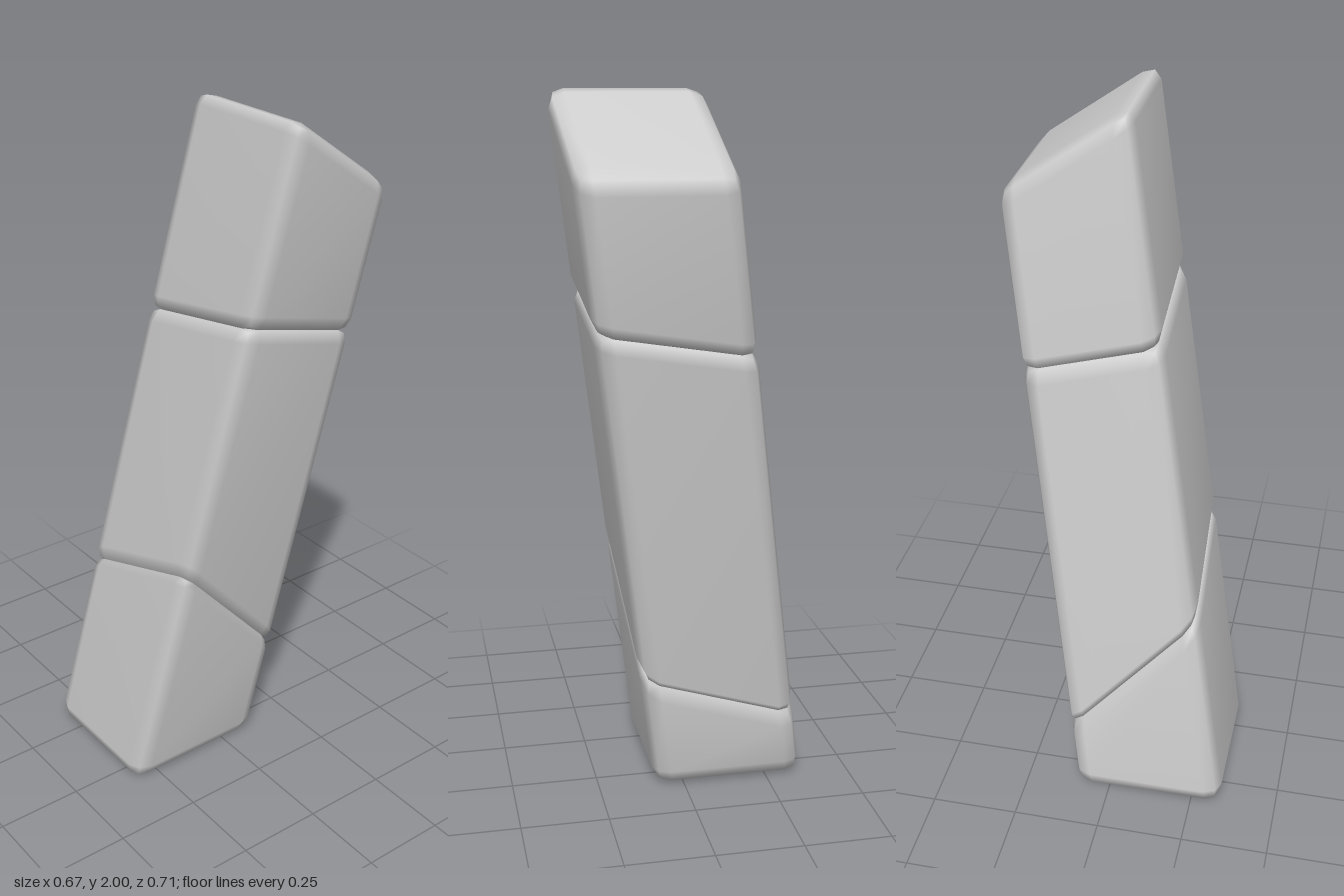
import * as THREE from 'three';
import { RoundedBoxGeometry } from 'three/addons/geometries/RoundedBoxGeometry.js';
import { mergeVertices } from 'three/addons/utils/BufferGeometryUtils.js';

const BEVEL = 0.05;
const HALF = 0.2;

// Leaning side planes of the pillar, as functions of height
const right = (y) => -0.345 + 0.168 * y;
const left = (y) => 0.1 + 0.134 * y;
const front = (y) => 0.085 + 0.138 * y;
const back = (y) => -0.36 + 0.145 * y;

// Slanted cuts between the blocks, as heights over x and z
const base = () => 0;
const lowerCut = (x, z) => 0.35 - 1.06 * (x - 0.135) + 0.37 * (z - 0.13);
const upperCut = (x, z) => 1.38 - 0.26 * (x - 0.28) + 0.17 * (z - 0.28);
const roof = (x) => 2.018 - 0.68 * x;

const raise = (plane, amount) => (x, z) => plane(x, z) + amount;

// Rounded box whose corners are moved onto the side planes and the two cuts,
// keeping the bevel width the same along every edge
function blockGeometry(bottom, top) {
  let geometry = new RoundedBoxGeometry(HALF * 2, HALF * 2, HALF * 2, 1, BEVEL);
  geometry.deleteAttribute('normal');
  geometry.deleteAttribute('uv');
  geometry.clearGroups();
  geometry = mergeVertices(geometry, 1e-5);
  const p = geometry.attributes.position;
  for (let i = 0; i < p.count; i++) {
    const [bx, by, bz] = [p.getX(i), p.getY(i), p.getZ(i)];
    const inset = (v) => HALF - Math.abs(v);
    let x = 0, z = 0, y = 1;
    for (let k = 0; k < 12; k++) {
      x = bx < 0 ? right(y) + inset(bx) : left(y) - inset(bx);
      z = bz < 0 ? back(y) + inset(bz) : front(y) - inset(bz);
      y = by < 0 ? bottom(x, z) + inset(by) : top(x, z) - inset(by);
    }
    p.setXYZ(i, x, y, z);
  }
  geometry.computeVertexNormals();
  return geometry;
}

export function createModel() {
  const group = new THREE.Group();
  group.name = 'leaningPillar';
  const material = new THREE.MeshStandardMaterial({ color: 0xcccccc });

  // Neighbouring blocks overlap slightly so the grooves stay shallow
  const lap = 0.012;
  const blocks = [
    ['lowerBlock', base, raise(lowerCut, lap)],
    ['middleBlock', raise(lowerCut, -lap), raise(upperCut, lap)],
    ['upperBlock', raise(upperCut, -lap), roof],
  ];
  for (const [name, bottom, top] of blocks) {
    const mesh = new THREE.Mesh(blockGeometry(bottom, top), material);
    mesh.name = name;
    group.add(mesh);
  }
  return group;
}
